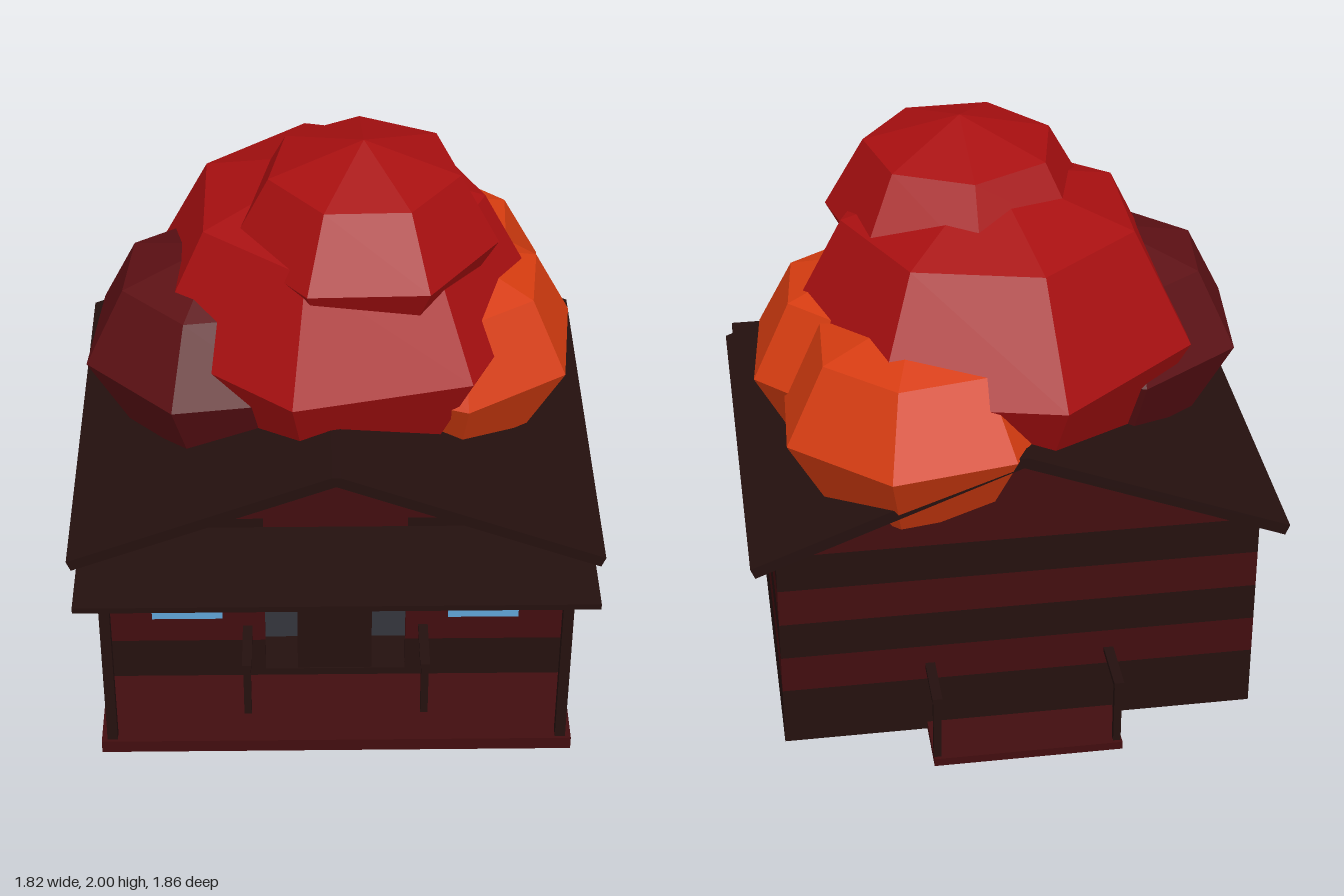
import * as THREE from 'three';

const mat = (name, color, flatShading = false) => {
  const m = new THREE.MeshStandardMaterial({ color, flatShading });
  m.name = name;
  return m;
};

export function createModel() {
  const darkWood = mat('darkWood', 0x24100e);
  const redWood = mat('redWood', 0x420d0f);
  const redLeaf = mat('redLeaf', 0xa80f10, true);
  const maroonLeaf = mat('maroonLeaf', 0x5c1014, true);
  const orangeLeaf = mat('orangeLeaf', 0xd63c10, true);
  const glass = mat('glass', 0x5fa3d6);
  const grey = mat('greyInterior', 0x34353c);
  const green = mat('greenInterior', 0x0c3a14);

  const model = new THREE.Group();
  model.name = 'cabinWithTree';
  const add = (name, geo, material) => {
    const m = new THREE.Mesh(geo, material);
    m.name = name;
    model.add(m);
    return m;
  };
  // Box given by its lower and upper limits on each axis
  const box = (name, material, x0, x1, y0, y1, z0, z1) => {
    const m = add(name, new THREE.BoxGeometry(x1 - x0, y1 - y0, z1 - z0), material);
    m.position.set((x0 + x1) / 2, (y0 + y1) / 2, (z0 + z1) / 2);
    return m;
  };
  // Flat outline extruded along z
  const prism = (name, material, points, z0, z1) => {
    const shape = new THREE.Shape(points.map(([x, y]) => new THREE.Vector2(x, y)));
    const m = add(name, new THREE.ExtrudeGeometry(shape, { depth: z1 - z0, bevelEnabled: false }), material);
    m.position.z = z0;
    return m;
  };

  const W = 0.823, FRONT = 0.515, BACK = -0.72, T = 0.03, DOOR = 0.25;

  // Striped walls, one ring of planks per level
  const levels = [0, 0.22, 0.36, 0.5, 0.64, 0.78];
  for (let i = 0; i < 5; i++) {
    const y0 = levels[i], y1 = levels[i + 1];
    const wood = i % 2 ? redWood : darkWood;
    box('backWall', wood, -W, W, y0, y1, BACK, BACK + T);
    for (const s of [-1, 1]) {
      const span = (a, b) => (s > 0 ? [a, b] : [-b, -a]);
      box('sideWall', wood, ...span(W - T, W), y0, y1, BACK + T, FRONT - T);
      box('frontWall', wood, ...span(DOOR, W), y0, y1, FRONT - T, FRONT);
    }
  }
  box('floor', darkWood, -W + T, W - T, 0, 0.05, BACK + T, FRONT);
  box('doorSill', darkWood, -DOOR, DOOR, 0.05, 0.08, FRONT - T, FRONT);
  box('doorLintel', darkWood, -DOOR, DOOR, 0.61, 0.64, FRONT - T, FRONT + 0.005);
  box('transom', redWood, -DOOR, DOOR, 0.64, 0.78, FRONT - T, FRONT);
  box('door', darkWood, -0.135, 0.13, 0.08, 0.62, FRONT - T, FRONT - 0.005);

  // Furnishings behind the open doorway
  box('innerPanel', grey, -0.32, -0.1, 0.05, 0.58, 0.3, 0.31);
  box('innerBase', grey, 0.1, 0.32, 0.05, 0.28, 0.3, 0.31);
  box('innerCurtain', green, 0.1, 0.32, 0.28, 0.62, 0.3, 0.31);
  box('innerValance', green, -0.32, -0.1, 0.58, 0.64, 0.3, 0.31);
  for (const s of [-1, 1]) {
    const strap = box('innerStrap', orangeLeaf, -0.1, 0.1, -0.008, 0.008, 0.315, 0.32);
    strap.position.set(s * 0.19, 0.355, 0.32);
    strap.rotation.z = -s * 0.9;
  }

  // Gables and roof
  for (const [name, z] of [['frontGable', FRONT - T], ['backGable', BACK]]) {
    prism(name, redWood, [[-0.79, 0.78], [0.79, 0.78], [0, 1.1]], z, z + T);
  }
  prism('roof', darkWood,
    [[0, 1.105], [0.895, 0.753], [0.91, 0.79], [0.015, 1.142], [-0.015, 1.142], [-0.91, 0.79], [-0.895, 0.753]],
    -0.79, 0.75);

  // Front porch
  box('porchDeck', redWood, -W, W, 0, 0.05, FRONT, 0.85);
  box('porchRoof', darkWood, -0.88, 0.88, 0.72, 0.742, FRONT, 0.93);
  // Back step
  box('backStep', redWood, -0.33, 0.325, 0, 0.03, -0.925, BACK);

  for (const s of [-1, 1]) {
    const x = s * 0.785, r = s * 0.312, w = s * 0.525;
    box('porchPost', darkWood, x - 0.018, x + 0.018, 0.05, 0.72, 0.805, 0.84);
    box('porchRailPost', darkWood, r - 0.013, r + 0.013, 0.05, 0.27, 0.685, 0.715);
    box('porchRail', darkWood, r - 0.017, r + 0.017, 0.27, 0.288, FRONT, 0.725);
    box('stepRailPost', darkWood, r - 0.013, r + 0.013, 0.03, 0.27, -0.913, -0.888);
    box('stepRail', darkWood, r - 0.017, r + 0.017, 0.27, 0.288, -0.925, BACK);
    box('window', glass, w - 0.125, w + 0.125, 0.33, 0.522, FRONT, FRONT + 0.009);
  }

  // Faceted foliage: centre, horizontal radius, vertical radius, turn in degrees
  const clumps = [
    ['crownTop', redLeaf, [0.1, 1.655, 0.03], 0.465, 0.345, 11.5],
    ['crownMain', redLeaf, [0.016, 1.3, -0.1], 0.715, 0.565, 0],
    ['crownRight', maroonLeaf, [-0.4, 1.185, -0.01], 0.487, 0.385, 5.3],
    ['crownLeft', orangeLeaf, [0.4, 1.16, -0.04], 0.47, 0.37, 32],
    ['crownBack', orangeLeaf, [0.31, 1.135, -0.41], 0.49, 0.375, 28.5],
  ];
  for (const [name, material, centre, r, ry, turn] of clumps) {
    const m = add(name, new THREE.SphereGeometry(1, 7, 4), material);
    m.position.set(...centre);
    m.scale.set(r, ry, r);
    m.rotation.y = -THREE.MathUtils.degToRad(turn + 180);
  }
  return model;
}
